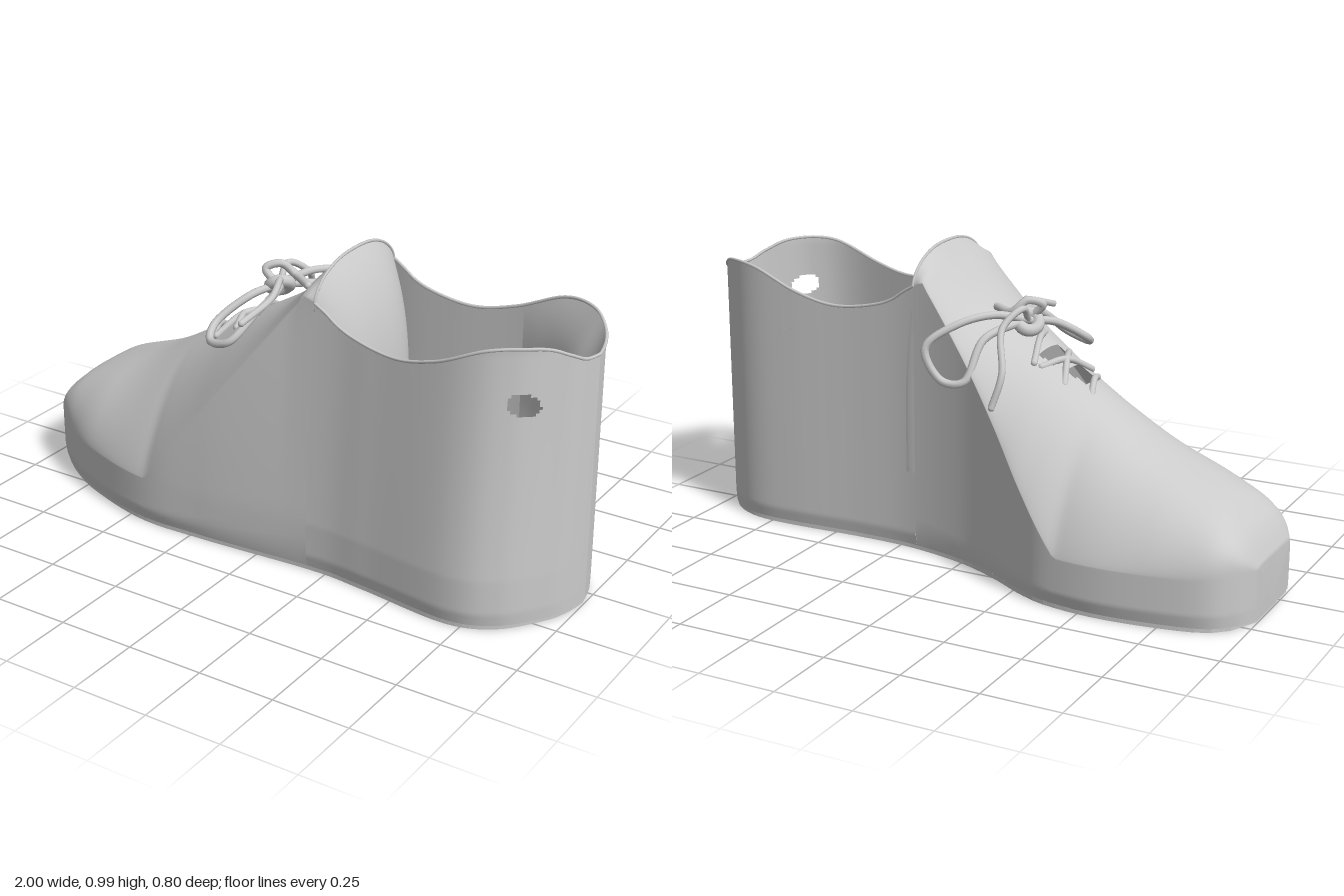
import * as THREE from 'three';

const V = (x, y, z) => new THREE.Vector3(x, y, z);
const { clamp, lerp } = THREE.MathUtils;
const material = new THREE.MeshStandardMaterial({ color: 0xcccccc, side: THREE.DoubleSide });

// Smooth function of x through a few [x, value] pairs
function profile(pairs) {
  const pts = new THREE.SplineCurve(pairs.map(p => new THREE.Vector2(...p))).getPoints(400);
  return x => {
    if (x <= pts[0].x) return pts[0].y;
    for (let i = 1; i < pts.length; i++) {
      const a = pts[i - 1], b = pts[i];
      if (b.x >= x && b.x > a.x) return lerp(a.y, b.y, clamp((x - a.x) / (b.x - a.x), 0, 1));
    }
    return pts[pts.length - 1].y;
  };
}

// Footprint edges, crest height, collar height and section squareness along the shoe
const inner = profile([[-1, -0.2], [-0.96, -0.29], [-0.86, -0.36], [-0.6, -0.4], [-0.4, -0.385], [-0.28, -0.34],
  [-0.15, -0.265], [0, -0.2], [0.2, -0.155], [0.4, -0.147], [0.65, -0.157], [0.8, -0.15], [0.9, -0.11], [0.97, -0.04], [1, 0.06]]);
const outer = profile([[-1, 0.07], [-0.96, 0.13], [-0.85, 0.22], [-0.7, 0.3], [-0.45, 0.375], [-0.2, 0.375],
  [0.2, 0.35], [0.4, 0.365], [0.7, 0.4], [0.85, 0.345], [0.95, 0.22], [0.985, 0.14], [1, 0.06]]);
const crest = profile([[-1, 0.18], [-0.97, 0.24], [-0.93, 0.29], [-0.85, 0.347], [-0.6, 0.457], [-0.4, 0.572],
  [-0.2, 0.687], [0, 0.807], [0.12, 0.917], [0.185, 0.99]]);
const collar = profile([[0.1, 0.885], [0.14, 0.9], [0.2, 0.877], [0.3, 0.817], [0.47, 0.787], [0.62, 0.817],
  [0.78, 0.882], [0.9, 0.887], [0.96, 0.857], [0.985, 0.832], [1, 0.827]]);
const square = profile([[-1, 5], [-0.9, 2.2], [-0.7, 1.4], [-0.4, 1.12], [-0.1, 1.2], [0.185, 1.5]]);
const TONGUE = 0.185;

// Height where the side wall ends: the welt, then a crease climbing to the collar
function wallTop(x) {
  const crease = 0.17 + (x + 0.42) * 1.28;
  const top = x > 0.13 ? collar(x) : Math.max(0.17, Math.min(crease, 0.89));
  return Math.min(top, crest(x) - 0.01);
}

// Side position: s = -1 inner edge .. 1 outer edge; the outer wall leans in with height
function sideZ(x, s, y) {
  const lean = 0.1 * clamp((x + 0.4) / 0.5, 0, 1) * clamp((y - 0.17) / 0.7, 0, 1);
  const a = inner(x), b = outer(x);
  const tuck = 1 - 0.03 * clamp((0.06 - y) / 0.04, 0, 1);
  return a + (b - a) * (0.5 + 0.5 * s * tuck) * (1 - lean);
}

// Grid surface from point(i, j); cells for which skip(centre) holds are left open
function surface(name, rows, cols, point, skip = () => false) {
  const pts = [], index = [];
  for (let i = 0; i <= rows; i++) for (let j = 0; j <= cols; j++) pts.push(point(i / rows, j / cols));
  for (let i = 0; i < rows; i++) for (let j = 0; j < cols; j++) {
    const a = i * (cols + 1) + j, b = a + 1, c = a + cols + 1, d = c + 1;
    if (!skip(pts[a].clone().add(pts[d]).multiplyScalar(0.5))) index.push(a, c, b, b, c, d);
  }
  const g = new THREE.BufferGeometry().setFromPoints(pts);
  g.setIndex(index);
  g.computeVertexNormals();
  return mesh(name, g);
}

function mesh(name, geometry) {
  const m = new THREE.Mesh(geometry, material);
  m.name = name;
  return m;
}

// Footprint shape from x0 to the heel, drawn in x and z
function footprint(x0, scale) {
  const pts = [], n = 70;
  for (let k = 0; k <= 2 * n; k++) {
    const x = lerp(x0, 1, Math.sin(Math.PI / 2 * (1 - Math.abs(k / n - 1))));
    const mid = (inner(x) + outer(x)) / 2;
    const z = k <= n ? inner(x) : outer(x);
    pts.push(new THREE.Vector2(x * (1 - (1 - scale) / 6), mid + (z - mid) * scale));
  }
  return new THREE.Shape(pts);
}

function lace(name, points, radius = 0.011) {
  const curve = new THREE.CatmullRomCurve3(points.map(p => V(...p)));
  const g = new THREE.Group();
  g.name = name;
  g.add(mesh(name + 'Cord', new THREE.TubeGeometry(curve, points.length * 10, radius, 8)));
  for (const p of [points[0], points[points.length - 1]]) {
    const tip = mesh(name + 'Tip', new THREE.SphereGeometry(radius, 8, 6));
    tip.position.set(...p);
    g.add(tip);
  }
  return g;
}

function rolledEdge(name, count, radius, point) {
  const pts = Array.from({ length: count + 1 }, (_, k) => point(k / count));
  return mesh(name, new THREE.TubeGeometry(new THREE.CatmullRomCurve3(pts), count * 2, radius, 6));
}

export function createModel() {
  const shoe = new THREE.Group();
  shoe.name = 'shoe';

  // Toe, vamp and tongue: side walls with an arch between, the first row closing the toe face
  const vampPoint = (u, v) => {
    if (u === 0) return V(-1, 0.02, -0.065);
    const x = -1 + (1 + TONGUE) * Math.pow((u - 0.0125) / 0.9875, 1.25);
    const top = crest(x), base = wallTop(x), r = square(x);
    const side = v < 0.5 ? -1 : 1, f = 1 - Math.abs(v * 2 - 1);
    let s = side, y = lerp(0.02, base, Math.min(f / 0.3, 1));
    if (f > 0.3) {
      const a = (f - 0.3) / 0.7 * Math.PI / 2;
      s = side * Math.pow(Math.max(Math.cos(a), 0), 2 / (r + 1));
      y = base + (top - base) * Math.pow(Math.sin(a), 2 / r);
    }
    return V(x, y, sideZ(x, s, y));
  };
  const throat = p => p.y > 0.4 && p.x > -0.34 && p.x < -0.19 && Math.abs(p.z - 0.03) < 0.05 + (p.x + 0.3) * 0.15
    && Math.abs(p.x + 0.265) > 0.012;
  shoe.add(surface('vamp', 80, 120, vampPoint, throat));

  // Quarters: one wall running round the heel, with a worn hole on the outer side
  const wallPoint = (u, v) => {
    const w = u * 2 - 1, x = 1 - (1 - TONGUE) * w * w;
    const y = lerp(0.02, collar(x), v);
    return V(x, y, sideZ(x, w < 0 ? -1 : 1, y));
  };
  const hole = p => p.z > 0.1
    && Math.hypot((p.x - 0.875) / 0.038, (p.y - 0.72 + (p.x - 0.875) * 0.3) / 0.034) < 1;
  shoe.add(surface('quarters', 180, 90, wallPoint, hole));

  // Lining: behind the tongue, sweeping back as it drops, and a sagging fold inside the heel
  const tongueEdge = t => vampPoint(1, lerp(0.15, 0.85, t));
  shoe.add(surface('tongueLining', 30, 24, (u, v) => {
    const p = tongueEdge(u), bulge = 1 - Math.pow(2 * u - 1, 2);
    return V(p.x + 0.13 * bulge * (1 - Math.pow(1 - v, 4)), lerp(p.y, 0.27, v), p.z);
  }));
  shoe.add(surface('heelLining', 30, 24, (u, v) => {
    const p = wallPoint(lerp(0.17, 0.5, u), 1 - 0.55 * v);
    const sag = 0.25 * Math.sin(Math.PI * u) * Math.sin(Math.PI * v);
    return V(lerp(p.x, 0.7, sag), p.y, lerp(p.z, 0.15, sag));
  }));

  // Rolled edges of the collar and tongue
  shoe.add(rolledEdge('collarRim', 80, 0.005, t => wallPoint(t, 1)));
  shoe.add(rolledEdge('tongueRim', 30, 0.005, tongueEdge));

  // Sole and footbed
  const sole = mesh('sole', new THREE.ExtrudeGeometry(footprint(-1, 0.97), { depth: 0.015, bevelEnabled: false }));
  sole.geometry.rotateX(Math.PI / 2);
  sole.position.y = 0.022;
  const footbed = mesh('footbed', new THREE.ShapeGeometry(footprint(-0.25, 0.965)));
  footbed.geometry.rotateX(Math.PI / 2);
  footbed.position.y = 0.27;
  shoe.add(sole, footbed);

  // Laces: crossing bars, knot, two bows and two loose ends
  const laces = new THREE.Group();
  laces.name = 'laces';
  for (const [x0, x1, w] of [[-0.38, -0.33, 0.08], [-0.3, -0.22, 0.1], [-0.22, -0.3, 0.1], [-0.2, -0.13, 0.11]]) {
    const h = x => crest(x) + 0.006, m = (x0 + x1) / 2;
    laces.add(lace('crossLace', [[x0, h(x0) - 0.025, 0.03 - w], [m, h(m) + 0.004, 0.03], [x1, h(x1) - 0.025, 0.03 + w]]));
  }
  const knot = mesh('knot', new THREE.TorusGeometry(0.032, 0.02, 10, 20));
  knot.position.set(-0.14, 0.775, 0);
  knot.rotation.set(0.9, 0.5, 0);
  laces.add(knot);
  laces.add(lace('outerBow', [[-0.14, 0.78, 0], [-0.19, 0.76, 0.09], [-0.25, 0.69, 0.2], [-0.22, 0.66, 0.27],
    [-0.14, 0.68, 0.285], [-0.1, 0.75, 0.2], [-0.09, 0.79, 0.1], [-0.13, 0.78, 0.01]], 0.013));
  laces.add(lace('innerBow', [[-0.14, 0.78, 0], [-0.07, 0.81, -0.1], [0.01, 0.79, -0.19], [0.09, 0.72, -0.25],
    [0.04, 0.62, -0.24], [-0.03, 0.62, -0.225], [-0.06, 0.74, -0.15], [-0.13, 0.78, -0.01]], 0.013));
  laces.add(lace('innerEnd', [[-0.14, 0.78, 0], [-0.15, 0.83, -0.06], [-0.12, 0.78, -0.14], [-0.16, 0.66, -0.22], [-0.14, 0.56, -0.25]]));
  laces.add(lace('outerEnd', [[-0.14, 0.78, 0], [-0.1, 0.82, 0.06], [-0.06, 0.8, 0.17], [-0.08, 0.76, 0.3]]));
  laces.add(lace('topLoop', [[-0.13, 0.78, 0.02], [-0.18, 0.83, 0.02], [-0.14, 0.845, -0.01], [-0.1, 0.81, -0.03], [-0.02, 0.805, 0.02]], 0.013));
  shoe.add(laces);
  shoe.position.y = -0.007;

  return shoe;
}
